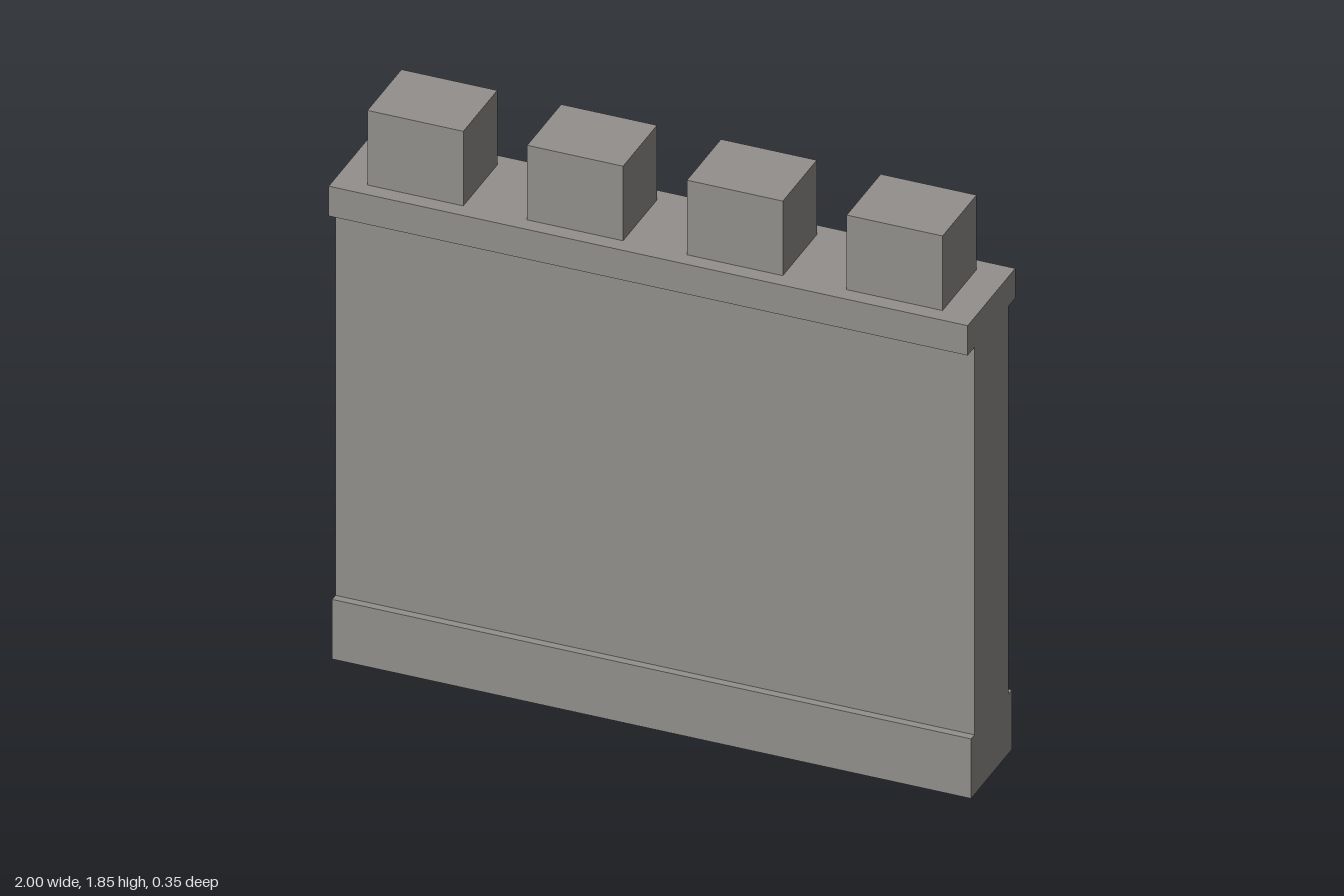
import * as THREE from 'three';

export function createModel() {
  const model = new THREE.Group();
  model.name = 'castleWall';

  const stone = new THREE.MeshStandardMaterial({ color: 0x928f8c });
  stone.name = 'grey stone';

  // Block standing on height y, centred on z = 0
  function addBlock(name, width, height, depth, x, y) {
    const block = new THREE.Mesh(new THREE.BoxGeometry(width, height, depth), stone);
    block.name = name;
    block.position.set(x, y + height / 2, 0);
    model.add(block);
  }

  // Plinth, wall and overhanging ledge
  addBlock('plinth', 2, 0.2, 0.3, 0, 0);
  addBlock('wall', 2, 1.3, 0.25, 0, 0.2);
  addBlock('ledge', 2, 0.1, 0.35, 0, 1.5);

  // Evenly spaced merlons
  for (let i = 0; i < 4; i++) {
    addBlock(`merlon${i + 1}`, 0.3, 0.25, 0.25, -0.75 + i * 0.5, 1.6);
  }

  return model;
}
